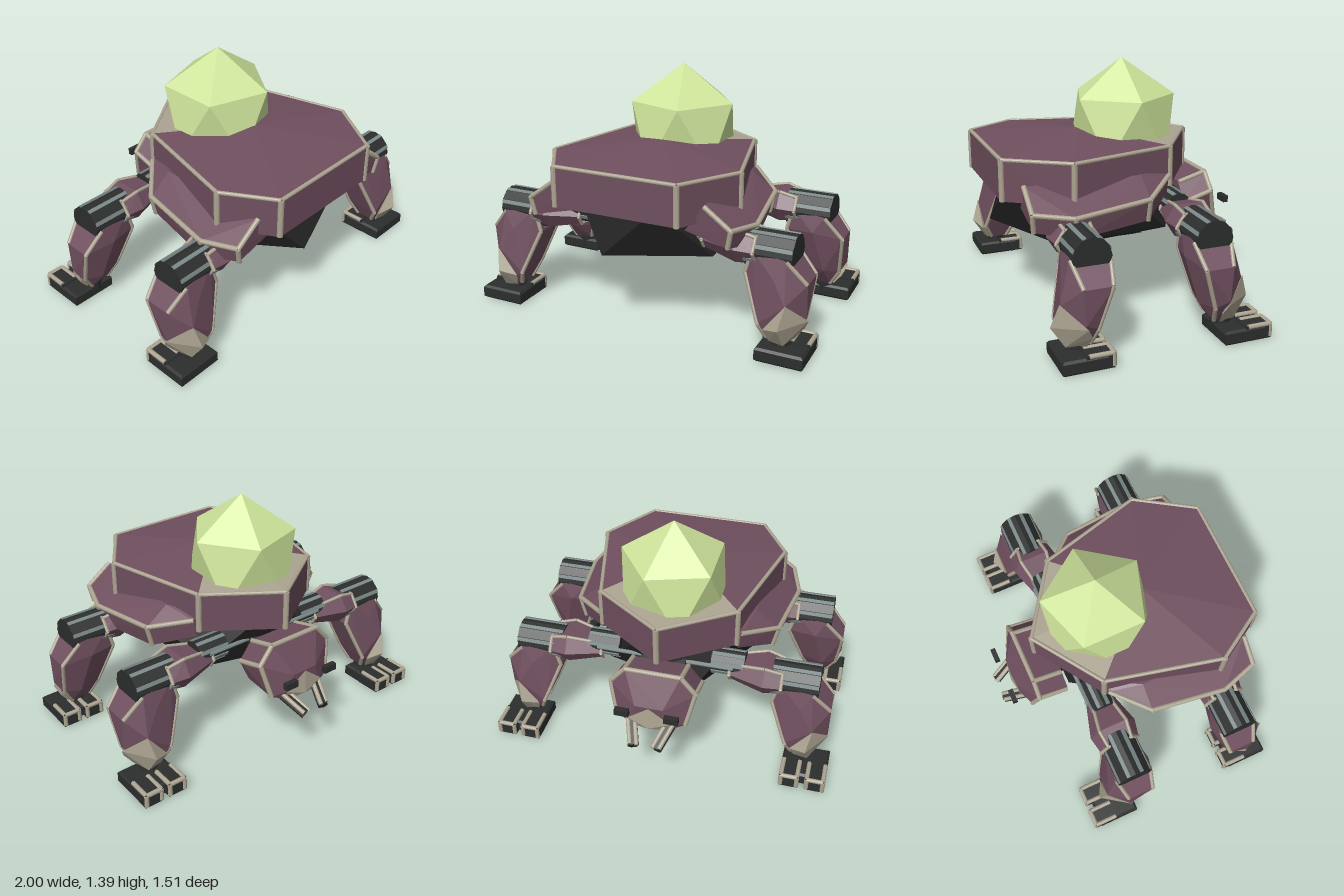
import * as THREE from 'three';
import { ConvexGeometry } from 'three/addons/geometries/ConvexGeometry.js';
import { mergeGeometries } from 'three/addons/utils/BufferGeometryUtils.js';

const paint = (name, color) => {
  const m = new THREE.MeshStandardMaterial({ color, flatShading: true });
  m.name = name;
  return m;
};
const plum = paint('plum armour', 0x6f4f5e);
const stone = paint('stone trim', 0xaca491);
const dark = paint('dark metal', 0x2c2e2e);
const black = paint('black underside', 0x222222);
const steel = paint('steel strips', 0x7c8888);
const green = paint('green crystal', 0xcfe59b);

const vec = (p) => new THREE.Vector3(p[0], p[1], p[2]);
// mirror a list of points across x = 0
const both = (pts) => pts.flatMap(([x, y, z]) => [[x, y, z], [-x, y, z]]);

function add(parent, name, geometry, material) {
  const mesh = new THREE.Mesh(geometry, material);
  mesh.name = name;
  parent.add(mesh);
}

// faceted solid around a few points
const hull = (parent, name, pts, material) => add(parent, name, new ConvexGeometry(pts.map(vec)), material);

// straight round bar between two points
function rod(a, b, r, sides) {
  const p = vec(a), q = vec(b), d = q.clone().sub(p);
  const g = new THREE.CylinderGeometry(r, r, d.length(), sides);
  g.applyQuaternion(new THREE.Quaternion().setFromUnitVectors(new THREE.Vector3(0, 1, 0), d.clone().normalize()));
  return g.translate((p.x + q.x) / 2, (p.y + q.y) / 2, (p.z + q.z) / 2);
}

// edge trim along several polylines, merged into one mesh
function trim(parent, name, lines, r = 0.014) {
  const bars = lines.flatMap((l) => l.slice(1).map((p, i) => rod(l[i], p, r, 14)));
  add(parent, name, mergeGeometries(bars), stone);
}

function box(parent, name, size, at, material) {
  add(parent, name, new THREE.BoxGeometry(...size).translate(...at), material);
}

// twenty-sided gem: two poles and two staggered rings of five
function gem(parent, name, y, z, [rx, ry, rz], phase, material) {
  const pts = [[0, y + ry, z], [0, y - ry, z]];
  for (let i = 0; i < 10; i++) {
    const a = phase + i * Math.PI / 5;
    pts.push([rx * Math.cos(a), y + (i % 2 ? -0.447 : 0.447) * ry, z + rz * Math.sin(a)]);
  }
  hull(parent, name, pts, material);
}

// ribbed joint barrel along x
function barrel(parent, name, x0, x1, y, z, r) {
  const g = new THREE.Group();
  g.name = name;
  add(g, 'drum', rod([x0, y, z], [x1, y, z], r, 12), dark);
  const strips = [];
  for (let i = 0; i < 8; i++) {
    const a = (i + 0.5) * Math.PI / 4;
    strips.push(new THREE.BoxGeometry(Math.abs(x1 - x0) - 0.004, 0.012, 0.022)
      .translate(0, r - 0.003, 0).rotateX(a).translate((x0 + x1) / 2, y, z));
  }
  add(g, 'drum strips', mergeGeometries(strips), steel);
  parent.add(g);
}

// flat-sided shell with a shallow pointed roof, outline runs round the back point
function buildShell(root) {
  const outline = [[0, -0.48], [0.4, -0.21], [0.56, 0.41], [0.345, 0.745], [-0.385, 0.745], [-0.56, 0.46], [-0.4, -0.21]];
  const shell = new THREE.Group();
  shell.name = 'shell';
  const peak = [0, 1.005, 0.2], top = 0.947, low = 0.718;
  const sides = [], roof = [], rear = [];
  outline.forEach(([x, z], i) => {
    const [u, w] = outline[(i + 1) % outline.length];
    sides.push(x, low, z, u, top, w, u, low, w, x, low, z, x, top, z, u, top, w);
    sides.push(x, low, z, u, low, w, 0, low, 0.2);
    (i === 0 || i === 6 ? rear : roof).push(x, top, z, ...peak, u, top, w);
  });
  const surface = (name, data, mat) => {
    const g = new THREE.BufferGeometry();
    g.setAttribute('position', new THREE.Float32BufferAttribute(data, 3));
    g.computeVertexNormals();
    add(shell, name, g, mat);
  };
  surface('shell walls', sides, plum);
  surface('shell roof', roof, plum);
  surface('shell rear roof', rear, stone);
  const inset = outline.map(([x, z]) => [x * 0.988, z * 0.988 + 0.002]);
  trim(shell, 'shell corner trim', inset.map(([x, z]) => [[x, low, z], [x, top - 0.004, z]]), 0.017);
  trim(shell, 'shell rim', [[...inset, inset[0]].map(([x, z]) => [x, top - 0.004, z])], 0.0115);
  root.add(shell);
}

// sloping skirt plate over the legs
function buildSkirt(root, s) {
  const m = ([x, y, z]) => [s * x, y, z];
  const upper = [[0.6, 0.71, 0.65], [0.662, 0.685, 0.44], [0.605, 0.72, 0], [0.42, 0.785, -0.19]].map(m);
  const lower = [[0.58, 0.61, 0.64], [0.64, 0.565, 0.42], [0.575, 0.595, 0], [0.4, 0.68, -0.19]].map(m);
  const inner = [[0.45, 0.82, 0.65], [0.5, 0.79, 0.42], [0.47, 0.82, 0], [0.37, 0.81, -0.17], [0.34, 0.67, 0.64], [0.34, 0.64, 0]].map(m);
  hull(root, 'skirtPlate', [...upper, ...lower, ...inner], plum);
  trim(root, 'skirtTrim', [upper, ...[0, 1, 2].map((i) => [upper[i], lower[i]]), [upper[0], inner[0]]]);
}

// one leg: s is the side, d is the way the shin leans, zk the knee position
function buildLeg(root, name, s, d, zk, zFoot) {
  const leg = new THREE.Group();
  leg.name = name;
  const at = (pts) => pts.map(([x, y, z]) => [s * x, y, zk + d * z]);

  barrel(leg, 'hipJoint', s * 0.27, s * 0.46, 0.61, zk, 0.075);
  const ring = (x, y0, y1, z) => at([[x, y0, -z * 0.6], [x, (y0 + y1) / 2, -z], [x, y1, -z * 0.6], [x, y1, z * 0.6], [x, (y0 + y1) / 2, z], [x, y0, z * 0.6]]);
  const a = ring(0.38, 0.53, 0.63, 0.08), b = ring(0.58, 0.49, 0.665, 0.14), c = ring(0.68, 0.5, 0.64, 0.12);
  hull(leg, 'upperArm', [...a, ...b, ...c], plum);
  trim(leg, 'upperArmTrim', [[...a, a[0]], [...c, c[0]], [a[2], b[2], c[2]], [a[3], b[3], c[3]]], 0.01);
  barrel(leg, 'kneeJoint', s * 0.62, s * 0.89, 0.563, zk, 0.105);

  // shin with a paler pointed tip
  hull(leg, 'shin', at([
    [0.67, 0.58, -0.09], [0.67, 0.58, 0.09], [0.86, 0.555, -0.11], [0.86, 0.555, 0.11],
    [0.63, 0.45, -0.09], [0.63, 0.45, 0.09], [0.8, 0.46, -0.13], [0.8, 0.46, 0.135],
    [0.97, 0.43, -0.085], [0.97, 0.43, 0.075],
    [0.88, 0.33, 0.168], [0.97, 0.24, 0.06], [0.945, 0.2, -0.015], [0.86, 0.21, -0.07], [0.73, 0.2, 0.16], [0.72, 0.22, -0.04],
    [0.77, 0.11, 0.01], [0.77, 0.11, 0.12], [0.89, 0.1, 0.01], [0.88, 0.11, 0.13]]), plum);
  hull(leg, 'shinTip', at([[0.885, 0.338, 0.172], [0.977, 0.22, 0.05], [0.95, 0.16, 0.02], [0.765, 0.18, 0.17], [0.86, 0.21, 0.215],
    [0.87, 0.095, 0.14], [0.9, 0.095, 0.035], [0.79, 0.105, 0.135]]), stone);
  trim(leg, 'shinTrim', [
    at([[0.86, 0.55, -0.105], [0.965, 0.43, -0.082], [0.94, 0.2, -0.012], [0.885, 0.105, 0.012]]),
    at([[0.86, 0.55, 0.105], [0.965, 0.43, 0.072]]),
    at([[0.67, 0.575, 0.085], [0.635, 0.45, 0.088], [0.735, 0.2, 0.155], [0.77, 0.115, 0.115]]),
    at([[0.67, 0.575, -0.085], [0.635, 0.45, -0.088], [0.725, 0.22, -0.036], [0.77, 0.115, 0.012]])], 0.012);

  // foot with two toes pointing to the rear
  const x = s * 0.865;
  add(leg, 'ankle', rod([x - s * 0.03, 0.03, zk + d * 0.08], [x - s * 0.03, 0.14, zk + d * 0.07], 0.06, 8), dark);
  const sole = [];
  for (const y of [0, 0.012, 0.068, 0.08]) {
    const e = y === 0 || y === 0.08 ? 0.012 : 0;
    for (const i of [-1, 1]) for (const k of [-1, 1]) sole.push([x + i * (0.133 - e), y, zFoot + 0.02 + k * (0.12 - e)]);
  }
  hull(leg, 'footPad', sole, dark);
  for (const k of [-1, 1]) {
    const tx = x + k * 0.074, z0 = zFoot - 0.132;
    box(leg, 'toe', [0.11, 0.082, 0.15], [tx, 0.046, zFoot - 0.06], dark);
    const x0 = tx - 0.046, x1 = tx + 0.046;
    trim(leg, 'toeTrim', [
      [[x0, 0.083, zFoot], [x0, 0.083, z0], [x0, 0.014, z0]],
      [[x1, 0.083, zFoot], [x1, 0.083, z0], [x1, 0.014, z0]], [[x0, 0.083, z0], [x1, 0.083, z0]]], 0.013);
  }
  root.add(leg);
}

function buildHead(root) {
  const head = new THREE.Group();
  head.name = 'head';
  hull(head, 'neck', both([[0.13, 0.68, -0.2], [0.13, 0.5, -0.2], [0.13, 0.6, -0.42], [0.08, 0.42, -0.44]]), dark);
  hull(head, 'skull', both([
    [0.16, 0.655, -0.375], [0.245, 0.55, -0.375], [0.16, 0.705, -0.55], [0.245, 0.6, -0.555], [0.2, 0.43, -0.4],
    [0.08, 0.53, -0.645], [0.11, 0.43, -0.64], [0.2, 0.41, -0.6], [0.11, 0.37, -0.615], [0.05, 0.292, -0.44]]), plum);
  hull(head, 'snout', both([[0, 0.53, -0.65], [0.125, 0.43, -0.64], [0.105, 0.36, -0.615], [0, 0.39, -0.66]]), stone);
  trim(head, 'browTrim', [[[-0.245, 0.6, -0.552], [-0.16, 0.7, -0.548], [0.16, 0.7, -0.548], [0.245, 0.6, -0.552]]]);
  for (const s of [-1, 1]) {
    trim(head, 'cheekTrim', [
      [[s * 0.16, 0.652, -0.38], [s * 0.16, 0.7, -0.548]],
      [[s * 0.24, 0.55, -0.38], [s * 0.24, 0.6, -0.552], [s * 0.197, 0.41, -0.597]]]);
    add(head, 'mandible', rod([s * 0.115, 0.39, -0.6], [s * 0.065, 0.315, -0.735], 0.032, 6), dark);
    trim(head, 'mandibleTrim', [[[s * 0.132, 0.41, -0.61], [s * 0.083, 0.333, -0.742]], [[s * 0.092, 0.41, -0.61], [s * 0.045, 0.333, -0.742]]], 0.013);
    box(head, 'eyeStalk', [0.08, 0.04, 0.03], [s * 0.14, 0.515, -0.69], dark);
  }
  root.add(head);
}

export function createModel() {
  const root = new THREE.Group();
  root.name = 'crystalWalker';
  buildShell(root);
  gem(root, 'crystal', 1.005, -0.075, [0.305, 0.385, 0.305], 0, green);
  gem(root, 'belly', 0.615, 0.165, [0.5, 0.327, 0.555], THREE.MathUtils.degToRad(140), black);
  for (const s of [-1, 1]) {
    buildSkirt(root, s);
    buildLeg(root, 'frontLeg', s, 1, 0.435, 0.49);
    buildLeg(root, 'rearLeg', s, -1, -0.238, -0.4);
  }
  add(root, 'rearAxle', rod([-0.4, 0.62, -0.31], [0.4, 0.62, -0.31], 0.012, 8), steel);
  buildHead(root);
  return root;
}
